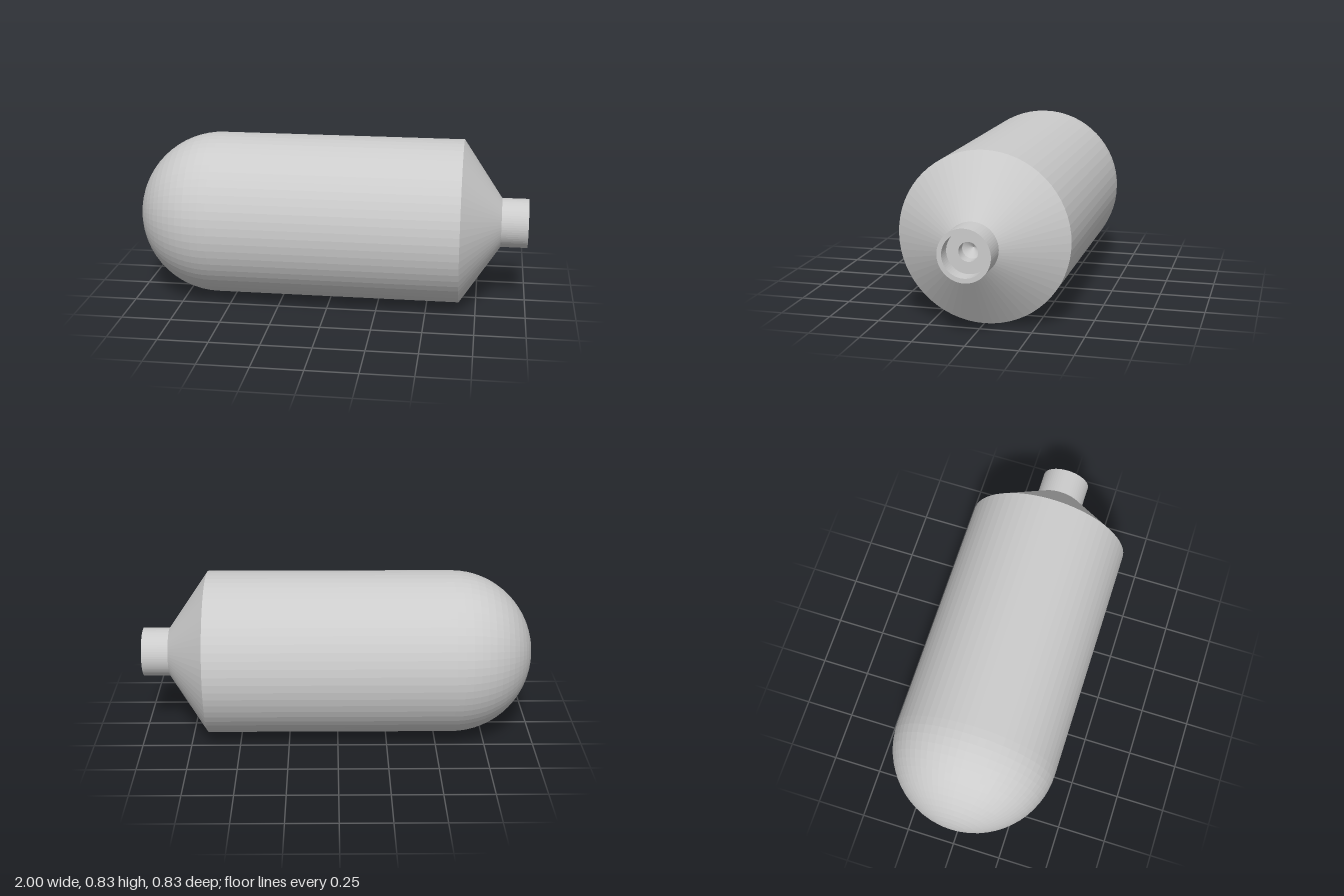
import * as THREE from 'three';

const R = 0.417;       // tank radius
const SEGMENTS = 64;

export function createModel() {
  const group = new THREE.Group();
  group.name = 'gasCartridge';
  const material = new THREE.MeshStandardMaterial({ color: 0xcccccc, flatShading: true });

  // Turned part: profile pairs are [radius, x], spun around the long axis
  function turned(name, profile) {
    const points = profile.map(([r, x]) => new THREE.Vector2(r, x));
    const mesh = new THREE.Mesh(new THREE.LatheGeometry(points, SEGMENTS), material);
    mesh.name = name;
    mesh.rotation.z = -Math.PI / 2;
    mesh.position.y = R;
    group.add(mesh);
  }

  // Hemispherical closed end
  const dome = [];
  const steps = 16;
  for (let i = 0; i <= steps; i++) {
    const a = (i / steps) * Math.PI / 2;
    dome.push([R * Math.sin(a), -1 + R - R * Math.cos(a)]);
  }
  turned('domedEnd', dome);

  // Straight cylinder and conical shoulder
  turned('cylinderWall', [[R, -1 + R], [R, 0.665]]);
  turned('shoulder', [[R, 0.665], [0.125, 0.865]]);

  // Neck with its rim and counterbore
  turned('neck', [[0.125, 0.865], [0.125, 1], [0.103, 1], [0.103, 0.925], [0.046, 0.925]]);

  // Drilled valve hole with a conical bottom
  turned('valveHole', [[0.046, 0.925], [0.046, 0.865], [0, 0.835]]);

  return group;
}
